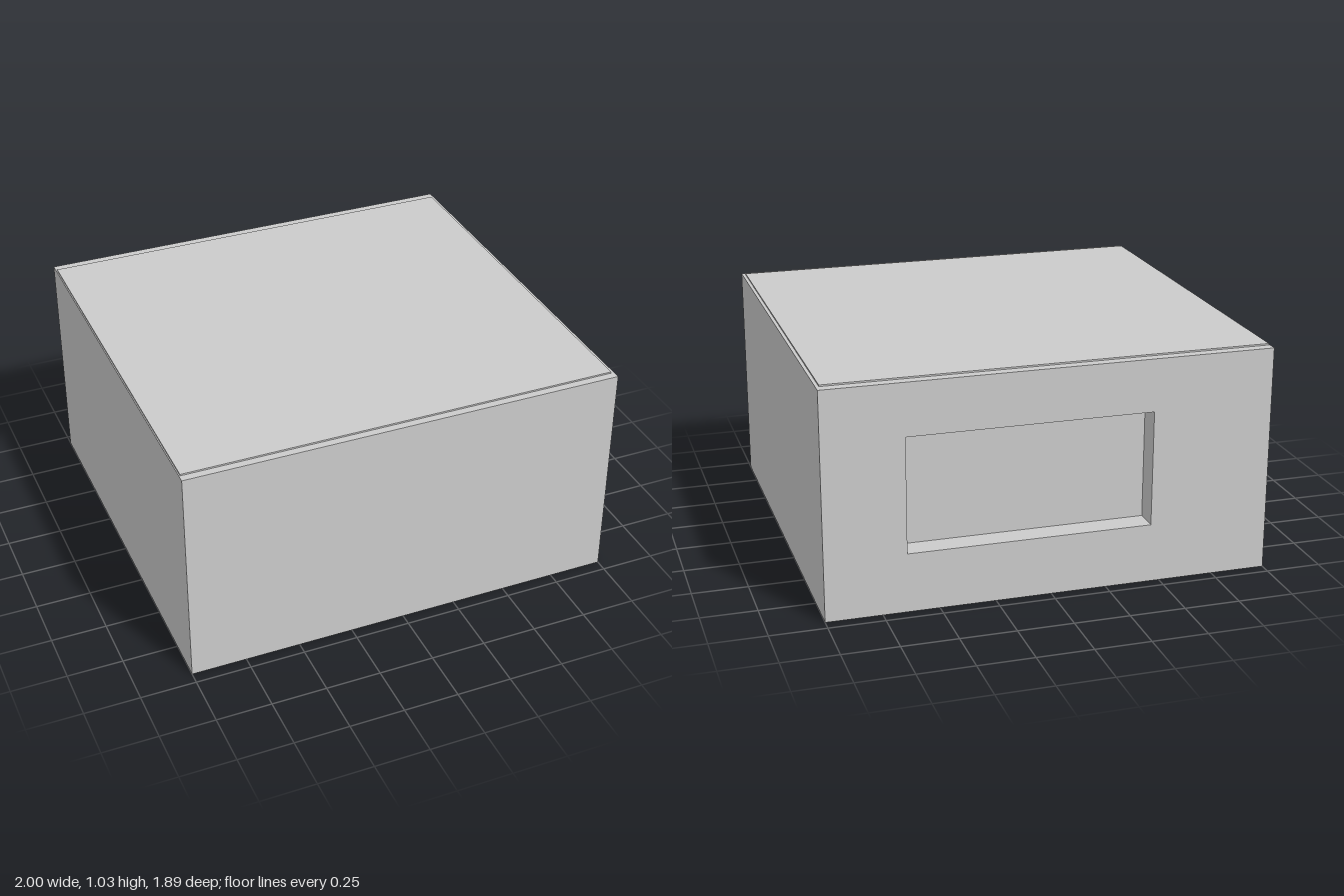
import * as THREE from 'three';

const H = 1.028, BACK = -0.945, FRONT = 0.945;
const material = new THREE.MeshStandardMaterial({ color: 0xcccccc, flatShading: true });

// Box given by its lower and upper limits on each axis
function slab(name, [x0, x1], [y0, y1], [z0, z1]) {
  const mesh = new THREE.Mesh(new THREE.BoxGeometry(x1 - x0, y1 - y0, z1 - z0), material);
  mesh.position.set((x0 + x1) / 2, (y0 + y1) / 2, (z0 + z1) / 2);
  mesh.name = name;
  return mesh;
}

function rectangle(Type, x0, x1, y0, y1) {
  return new Type([[x0, y0], [x1, y0], [x1, y1], [x0, y1]].map(([x, y]) => new THREE.Vector2(x, y)));
}

export function createModel() {
  const room = new THREE.Group();
  room.name = 'room';

  // Outer walls, with the back wall fitted between the left wall and the outer right edge
  room.add(
    slab('frontWall', [-0.9, 0.9], [0, H], [0.82, FRONT]),
    slab('sideWall', [-1, -0.9], [0, H], [BACK, FRONT]),
    slab('oppositeSideWall', [0.9, 1], [0, H], [-0.82, FRONT])
  );

  // Back wall with a window opening
  const outline = rectangle(THREE.Shape, -0.9, 1, 0, H);
  outline.holes.push(rectangle(THREE.Path, -0.455, 0.64, 0.268, 0.79));
  const backWall = new THREE.Mesh(
    new THREE.ExtrudeGeometry(outline, { depth: 0.125, bevelEnabled: false }), material);
  backWall.position.z = BACK;
  backWall.name = 'backWall';
  room.add(backWall);

  // Closed panel set into the window
  room.add(slab('windowPanel', [-0.5, 0.68], [0.22, 0.84], [-0.835, -0.8]));

  // Floor and the slightly raised roof sheet
  room.add(
    slab('floor', [-0.9, 0.9], [0, 0.06], [-0.82, 0.82]),
    slab('roof', [-0.995, 0.985], [H - 0.05, 1.035], [-0.9, 0.91])
  );
  return room;
}
